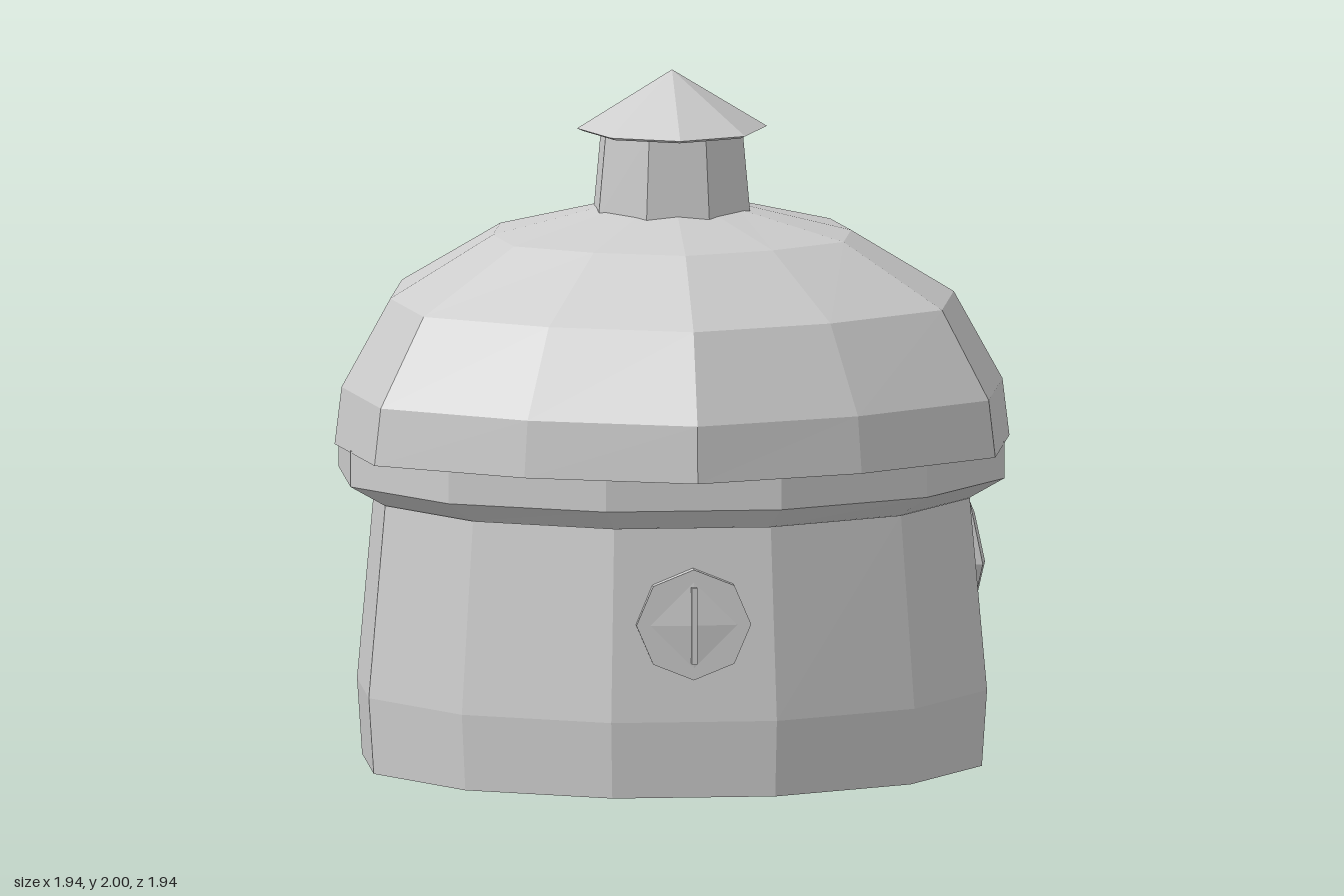
import * as THREE from 'three';

const CENTER_Z = 0.12;
const stone = new THREE.MeshStandardMaterial({ color: 0xcccccc, flatShading: true, side: THREE.DoubleSide });
stone.name = 'pale stone';

// Joins rings [radiusX, radiusZ, y] from bottom to top, round a list of unit directions [x, z]
function loft(rings, dirs) {
  const pos = [];
  const n = dirs.length;
  const put = (r, i) => pos.push(r[0] * dirs[i % n][0], r[2], r[1] * dirs[i % n][1]);
  for (let k = 0; k < rings.length - 1; k++) {
    const a = rings[k], b = rings[k + 1];
    for (let i = 0; i < n; i++) {
      if (a[0] > 0) { put(a, i); put(a, i + 1); put(b, i + 1); }
      if (b[0] > 0) { put(a, i); put(b, i + 1); put(b, i); }
    }
  }
  const g = new THREE.BufferGeometry();
  g.setAttribute('position', new THREE.Float32BufferAttribute(pos, 3));
  g.computeVertexNormals();
  return g;
}

// Regular polygon directions
function polygon(n, offset = 0) {
  return Array.from({ length: n }, (_, i) => {
    const a = ((i + offset) / n) * Math.PI * 2;
    return [Math.sin(a), Math.cos(a)];
  });
}

function add(parent, name, geometry, x = 0, y = 0, z = 0) {
  const mesh = new THREE.Mesh(geometry, stone);
  mesh.name = name;
  mesh.position.set(x, y, z);
  parent.add(mesh);
  return mesh;
}

// Pointed arch outline
function arch(half, bottom, spring, shoulder, peak, Type = THREE.Shape) {
  return new Type([
    [-half, bottom], [half, bottom], [half, spring],
    [half * 0.67, shoulder], [0, peak], [-half * 0.67, shoulder], [-half, spring],
  ].map(p => new THREE.Vector2(...p)));
}

// Potted plant: tapered pot with a cluster of pointed leaves
function pot(name, radius, height) {
  const g = new THREE.Group();
  g.name = name;
  add(g, 'pot', loft([[0, 0, 0], [radius * 0.65, radius * 0.65, 0], [radius, radius, height * 0.55],
    [radius * 0.85, radius * 0.85, height * 0.65], [0, 0, height * 0.55]], polygon(6, 0.25)));
  for (let i = 0; i < 6; i++) {
    const a = (i / 6) * Math.PI * 2;
    const leaf = add(g, 'leaf', new THREE.ConeGeometry(radius * 0.33, height * 0.5, 4),
      Math.sin(a) * radius * 0.55, height * 0.72, Math.cos(a) * radius * 0.55);
    leaf.rotation.set(Math.cos(a) * 0.35, 0, -Math.sin(a) * 0.35);
  }
  add(g, 'middleLeaf', new THREE.ConeGeometry(radius * 0.3, height * 0.45, 4), 0, height * 0.77, 0);
  return g;
}

export function createModel() {
  const model = new THREE.Group();
  model.name = 'roundHut';
  const twelve = polygon(12, 0.5);
  const eight = polygon(8);

  // Wall, open underneath, and the band under the eaves
  add(model, 'wall', loft([[0.905, 0.74, 0], [0.92, 0.75, 0.22], [0.87, 0.697, 0.775]], twelve), 0, 0, CENTER_Z);
  add(model, 'eavesBand', loft([[0.86, 0.69, 0.772], [0.87, 0.697, 0.772], [0.973, 0.76, 0.83], [0.973, 0.76, 0.934],
    [0.86, 0.69, 0.934]], twelve), 0, 0, 0.1);

  // Domed roof with slightly squared corners
  const quarter = [[0, 1], [0.5, 0.815], [0.92, 0.5], [1, 0], [0.92, -0.5], [0.5, -0.815]];
  const roofDirs = [...quarter, ...quarter.map(([x, z]) => [-x, -z])];
  add(model, 'roof', loft([[0.85, 0.72, 0.93], [0.97, 0.848, 0.928], [0.95, 0.838, 1.093], [0.81, 0.71, 1.347],
    [0.515, 0.447, 1.528], [0.2, 0.18, 1.607], [0, 0, 1.61]], roofDirs), 0, 0, CENTER_Z);

  // Chimney and its pointed cap
  add(model, 'chimney', loft([[0.236, 0.212, 1.59], [0.212, 0.195, 1.84]], polygon(8, 0.5)), 0, 0, CENTER_Z);
  add(model, 'chimneyCap', loft([[0, 0, 1.835], [0.255, 0.255, 1.825], [0.273, 0.273, 1.833], [0, 0, 2]], eight),
    0, 0, CENTER_Z);

  // Oval side window with a deep bevelled frame
  const side = new THREE.Group();
  side.name = 'sideWindow';
  side.position.set(0.749, 0.52, -0.228);
  side.rotation.y = Math.atan2(0.81, -0.58);
  add(side, 'windowFrame', loft([[0.17, 0.225, -0.06], [0.175, 0.23, 0], [0.198, 0.252, 0.06], [0.155, 0.19, 0.105],
    [0.14, 0.17, 0.105], [0.135, 0.165, 0.085]], eight).rotateX(Math.PI / 2));
  add(side, 'windowPane', loft([[0.137, 0.167, 0.086], [0.12, 0.15, 0.1], [0, 0, 0.1]], eight).rotateX(Math.PI / 2));
  add(side, 'windowBar', new THREE.BoxGeometry(0.04, 0.28, 0.03), 0, 0, 0.105);
  model.add(side);

  // Small front window, nearly flush with the wall
  const front = new THREE.Group();
  front.name = 'frontWindow';
  front.position.set(0, 0.5, 0.83);
  add(front, 'windowFrame', loft([[0.165, 0.16, -0.05], [0.165, 0.16, 0.008], [0, 0, 0.008]], eight)
    .rotateX(Math.PI / 2));
  add(front, 'windowPane', loft([[0, 0, -0.16], [0.1, 0.1, -0.14], [0.125, 0.125, 0.012], [0, 0, 0.022]], polygon(4))
    .rotateX(Math.PI / 2));
  add(front, 'windowBar', new THREE.BoxGeometry(0.016, 0.22, 0.02), 0, 0, 0.022);
  model.add(front);

  // Back door in a pointed arch
  const door = new THREE.Group();
  door.name = 'backDoor';
  door.position.set(-0.08, 0, 0);
  const frame = arch(0.25, 0.19, 0.63, 0.77, 0.9);
  frame.holes.push(arch(0.165, 0.195, 0.58, 0.7, 0.79, THREE.Path));
  add(door, 'doorFrame', new THREE.ExtrudeGeometry(frame, { depth: 0.17, bevelEnabled: false }), 0, 0, -0.67);
  add(door, 'doorPanel', new THREE.ExtrudeGeometry(arch(0.17, 0.19, 0.59, 0.71, 0.8),
    { depth: 0.1, bevelEnabled: false }), 0, 0, -0.63);
  add(door, 'doorKnob', new THREE.OctahedronGeometry(0.024), 0.1, 0.48, -0.645);
  model.add(door);

  // Three steps, narrower towards the door: [width, height, back z, front z]
  [[0.62, 0.06, -0.973, -0.87], [0.59, 0.13, -0.87, -0.768], [0.555, 0.197, -0.768, -0.6]].forEach(([w, h, z0, z1], i) => {
    add(model, 'step' + (i + 1), new THREE.BoxGeometry(w, h, z1 - z0), -0.083, h / 2, (z0 + z1) / 2);
  });

  // Plants beside the door
  const large = pot('largePlant', 0.12, 0.25);
  large.position.set(-0.735, 0, -0.46);
  const small = pot('smallPlant', 0.06, 0.16);
  small.position.set(0.17, 0, -0.73);
  model.add(large, small);

  return model;
}
